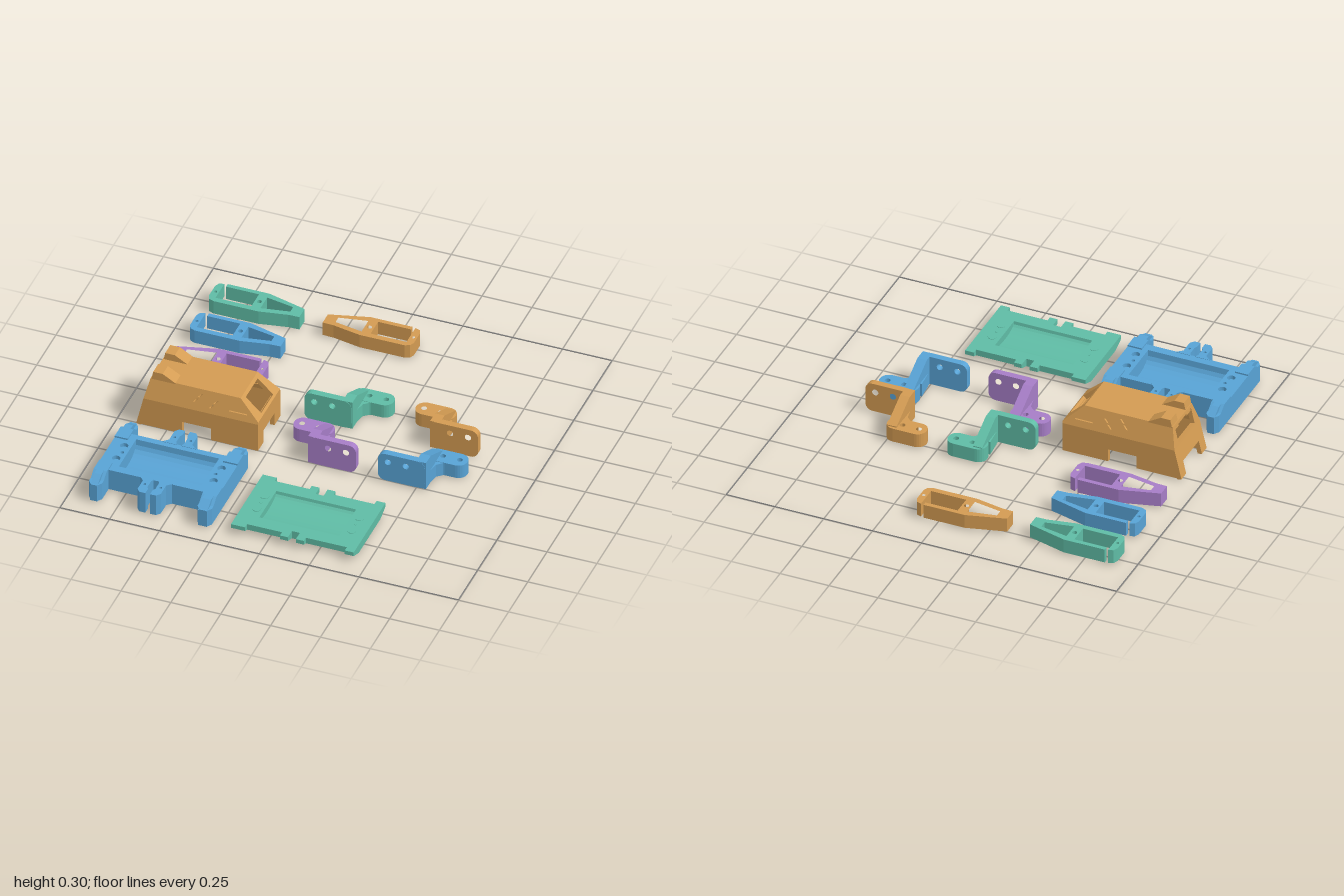
import * as THREE from 'three';

const mat = (name, color) => Object.assign(new THREE.MeshStandardMaterial({ color }), { name });

export function createModel() {
  const root = new THREE.Group();
  const orange = mat('warm orange', 0xd39b52), blue = mat('sky blue', 0x58a3d5);
  const teal = mat('sea green', 0x5fbca5), purple = mat('lilac', 0xa67dc6);
  const grey = mat('grey', 0x808080);

  const group = (name, parent = root) => {
    const g = new THREE.Group();
    g.name = name;
    parent.add(g);
    return g;
  };
  const add = (parent, name, geo, m) => {
    const mesh = new THREE.Mesh(geo, m);
    mesh.name = name;
    parent.add(mesh);
    return mesh;
  };
  const path = pts => new THREE.Path(pts.map(p => new THREE.Vector2(p[0], p[1])));
  const circle = (x, y, r) => Array.from({ length: 16 }, (_, i) =>
    [x + r * Math.cos(i * Math.PI / 8), y + r * Math.sin(i * Math.PI / 8)]);
  const rect = (x0, x1, y0, y1) => [[x0, y0], [x1, y0], [x1, y1], [x0, y1]];
  // rectangle with the corners rounded
  const rounded = (x0, x1, y0, y1, r) => [[x1, y1, 0], [x0, y1, 1], [x0, y0, 2], [x1, y0, 3]].flatMap(([x, y, q]) =>
    Array.from({ length: 7 }, (_, i) => {
      const a = (q + i / 6) * Math.PI / 2;
      const cx = x === x1 ? x1 - r : x0 + r, cy = y === y1 ? y1 - r : y0 + r;
      return [cx + r * Math.cos(a), cy + r * Math.sin(a)];
    }));
  const extrude = (pts, holes, depth) => {
    const s = new THREE.Shape(path(pts).getPoints());
    s.holes = holes.map(path);
    return new THREE.ExtrudeGeometry(s, { depth, bevelEnabled: false });
  };
  // extrusions of an x-y, x-z or z-y outline along the remaining axis
  const alongZ = (pts, holes, z0, z1) => extrude(pts, holes, z1 - z0).translate(0, 0, z0);
  const alongY = (pts, holes, y0, y1) => extrude(pts, holes, y1 - y0).rotateX(Math.PI / 2).translate(0, y1, 0);
  const alongX = (pts, holes, x0, x1) => extrude(pts, holes, x1 - x0).rotateY(-Math.PI / 2).translate(x1, 0, 0);

  // thin square border on the ground
  const border = group('bedBorder');
  add(border, 'borderLine', alongY(rect(-1, 1, -1, 1), [rect(-0.996, 0.996, -0.996, 0.996)], 0, 0.003), grey);

  // spring clips: open hook, crossbar and tapered loop
  const clip = (name, m, x, z, s) => {
    const f = pts => pts.map(([u, v]) => [s * (u - 0.2275), v]);
    const outline = [[0.05, 0], [0.26, 0], [0.455, 0.052], [0.455, 0.12], [0.4, 0.122], [0.26, 0.148], [0.035, 0.148],
      [0.01, 0.138], [0, 0.115], [0, 0.035], [0.01, 0.012], [0.035, 0.004], [0.035, 0.12], [0.215, 0.12],
      [0.215, 0.022], [0.05, 0.022]];
    const holes = [[[0.26, 0.032], [0.4, 0.058], [0.4, 0.095], [0.26, 0.12]],
      circle(0.237, 0.075, 0.012), circle(0.018, 0.075, 0.008)];
    add(group(name), 'clipBody', alongY(f(outline), holes.map(f), 0.008, 0.08).translate(x, 0, z), m);
  };
  clip('clipA', teal, -0.677, -0.81, 1);
  clip('clipB', blue, -0.677, -0.565, 1);
  clip('clipC', purple, -0.677, -0.325, -1);
  clip('clipD', orange, -0.105, -0.81, -1);

  // brackets: upright plate, sloping arm and a two-hole pod
  const bracket = (name, m, x, z, s) => {
    const g = group(name);
    g.position.set(x, 0, z);
    const f = pts => pts.map(([u, v]) => [s * u, v]);
    add(g, 'mountPlate', alongZ(f(rounded(-0.19, 0.045, 0.008, 0.16, 0.035)),
      [circle(-0.14, 0.115, 0.016), circle(-0.05, 0.115, 0.016)].map(f), 0.082, 0.115), m);
    const xs = [s * 0.002, s * 0.05].sort((a, b) => a - b);
    add(g, 'arm', alongX([[0.113, 0.008], [0.113, 0.16], [0.05, 0.16], [-0.1, 0.085], [-0.1, 0.008]], [], ...xs), m);
    add(g, 'armFlare', alongY(f([[0.0, 0.06], [-0.008, -0.03], [0.13, -0.03], [0.085, -0.018], [0.06, 0.005], [0.05, 0.06]]),
      [], 0.008, 0.078), m);
    add(g, 'pod', alongY(f(rounded(-0.01, 0.19, -0.115, -0.02, 0.045)),
      [circle(0.066, -0.068, 0.014), circle(0.15, -0.068, 0.014)].map(f), 0.008, 0.08), m);
  };
  bracket('bracketA', blue, 0.5, 0.145, 1);
  bracket('bracketB', purple, 0.01, 0.145, -1);
  bracket('bracketC', teal, 0.01, -0.17, 1);
  bracket('bracketD', orange, 0.5, -0.17, -1);

  // curved trough floor from +half to -half, sunk from top to floor
  const trough = (c, half, top, floor) => Array.from({ length: 13 }, (_, i) => {
    const a = i * Math.PI / 12;
    return [c + half * Math.cos(a), top - (top - floor) * Math.sin(a) ** 0.7];
  });

  // shallow tray with bevelled underside, made of slices along x
  const tray = group('tray');
  const cz = 0.692;
  [[-0.18, -0.11, 0.207], [-0.11, -0.075, 0.18], [-0.075, 0.065, 0.18, 1], [0.065, 0.105, 0.207, 1],
    [0.105, 0.145, 0.155, 1], [0.145, 0.185, 0.207, 1], [0.185, 0.325, 0.18, 1], [0.325, 0.39, 0.18],
    [0.39, 0.435, 0.207]].forEach(([x0, x1, h, open]) => {
    const yk = 0.008 + (h - 0.14) * 0.4;
    const pts = [[cz - 0.14, 0.008], [cz - h, yk], [cz - h, 0.056],
      ...(open ? trough(cz, 0.11, 0.056, 0.018).reverse() : []),
      [cz + h, 0.056], [cz + h, yk], [cz + 0.14, 0.008]];
    add(tray, open ? 'troughSlice' : 'endSlice', alongX(pts, [], x0, x1), teal);
  });
  [-0.11, 0.365].forEach(x => [0.64, 0.69, 0.745].forEach((z, i) =>
    add(tray, 'magnetSeat', alongY(circle(x, z, i === 1 ? 0.008 : 0.021), [], 0.055, 0.058), teal)));

  // deep base: trough deck, end blocks, corner legs and centre prongs
  const base = group('base');
  const bz = 0.64;
  add(base, 'troughDeck', alongX([[bz - 0.15, 0.008], [bz - 0.15, 0.12], ...trough(bz - 0.005, 0.113, 0.12, 0.045).reverse(),
    [bz + 0.15, 0.12], [bz + 0.15, 0.008]], [], -0.8, -0.385), blue);
  [[-0.9, -0.8], [-0.385, -0.285]].forEach(([x0, x1], i) => {
    const hx = i ? -0.347 : -0.835;
    add(base, 'endBlock', alongY(rect(x0, x1, bz - 0.15, bz + 0.15),
      [circle(hx, bz - 0.052, 0.02), circle(hx, bz + 0.052, 0.02), circle(hx + (i ? -0.01 : 0.01), bz, 0.009)], 0.1, 0.12), blue);
    add(base, 'endBlockCore', alongY(rect(x0, x1, bz - 0.15, bz + 0.15), [], 0.008, 0.1), blue);
  });
  // leg outline with chamfered top and outer end
  const leg = (name, x0, x1, s) => {
    const z = d => bz + s * d;
    add(base, name, alongX([[z(0.115), 0.008], [z(0.26), 0.008], [z(0.26), 0.095], [z(0.205), 0.128], [z(0.115), 0.128]],
      [], x0, x1), blue);
  };
  [-1, 1].forEach(s => {
    leg('cornerLeg', -0.885, -0.85, s);
    leg('cornerLeg', -0.345, -0.3, s);
    const z = d => bz + s * d;
    [[-0.9, -0.835], [-0.357, -0.285]].forEach(([x0, x1]) => add(base, 'cornerLegFlank', alongY(
      [[x0, z(0.12)], [x0, z(0.235)], [x0 + 0.018, z(0.26)], [x1 - 0.018, z(0.26)], [x1, z(0.235)], [x1, z(0.12)]],
      [], 0.008, 0.1), blue));
    [[-0.9, -0.835], [-0.357, -0.285]].forEach(([x0, x1]) => leg('cornerLegCap', x0, x1, s * 0.85));
    // paired prongs with a widened slot between them
    [-1, 1].forEach(k => add(base, 'prong', alongY(
      [[0.012, 0.26], [0.042, 0.26], [0.058, 0.24], [0.058, 0.17], [0.085, 0.145], [0.012, 0.145], [0.02, 0.165],
        [0.02, 0.21], [0.012, 0.225]].map(([u, v]) => [-0.597 + k * u, z(v)]),
      [circle(-0.597 + k * 0.04, z(0.195), 0.007)], 0.008, 0.122), blue));
  });

  // hollow cover: notched lower walls, inward-leaning upper sides, sloped ends
  const cover = group('cover');
  const oz = 0.117, hw = 0.145, ky = 0.16, t = 0.022;
  const lean = y => Math.max(0, y - ky) * 0.33;
  const lower = [[-0.9, 0.008], [-0.67, 0.008], [-0.67, 0.075], [-0.525, 0.075], [-0.525, 0.008], [-0.29, 0.008],
    [-0.29, ky], [-0.864, ky]];
  const upper = [[-0.864, ky], [-0.29, ky], [-0.29, 0.17], [-0.39, 0.265], [-0.84, 0.265]];
  const slits = [[-0.62, 0.2], [-0.6, 0.225], [-0.52, 0.21], [-0.54, 0.185]].map(([x, y]) =>
    [[x, y], [x + 0.008, y], [x + 0.026, y + 0.018], [x + 0.018, y + 0.018]]);
  slits.push(rect(-0.44, -0.35, 0.192, 0.197));
  [-1, 1].forEach(s => {
    const zs = [s * hw, s * (hw - t)].sort((a, b) => a - b);
    add(cover, 'lowerSide', alongZ(lower, [], ...zs).translate(0, 0, oz), orange);
    const g = alongZ(upper, slits, ...zs);
    const p = g.attributes.position;
    for (let i = 0; i < p.count; i++) p.setZ(i, p.getZ(i) - s * lean(p.getY(i)));
    g.computeVertexNormals();
    add(cover, 'upperSide', g.translate(0, 0, oz), orange);
    // raised sight blocks on the roof
    const hz = [s * 0.045, s * 0.112].sort((a, b) => a - b);
    add(cover, 'roofBlock', alongZ([[-0.842, 0.235], [-0.828, 0.302], [-0.78, 0.302], [-0.715, 0.264], [-0.715, 0.235]],
      [], ...hz).translate(0, 0, oz), orange);
  });
  add(cover, 'roof', new THREE.BoxGeometry(0.45, t, 2 * (hw - lean(0.265)))
    .translate(-0.615, 0.265 - t / 2, oz), orange);

  // end panel between a lower and an upper edge, facing side s
  const endPanel = (name, s, [x0, y0], [x1, y1], cut) => {
    const L = Math.hypot(x1 - x0, y1 - y0), a = hw - lean(y0), b = hw - lean(y1);
    const g = extrude(cut.notch ? [[-a, 0], [-cut.notch, 0], [-cut.notch, 0.07], [cut.notch, 0.07], [cut.notch, 0], [a, 0], [b, L], [-b, L]]
      : [[-a, 0], [a, 0], [b, L], [-b, L]],
    cut.window ? [rect(-cut.window, cut.window, L * 0.1, L * 0.87)] : [], t).translate(0, 0, -t);
    const U = new THREE.Vector3(0, 0, -s), V = new THREE.Vector3((x1 - x0) / L, (y1 - y0) / L, 0);
    g.applyMatrix4(new THREE.Matrix4().makeBasis(U, V, U.clone().cross(V)).setPosition(x0, y0, oz));
    add(cover, name, g, orange);
  };
  endPanel('frontLowerEnd', 1, [-0.29, 0.008], [-0.29, 0.17], { notch: 0.07 });
  endPanel('frontSlope', 1, [-0.29, 0.17], [-0.39, 0.265], { window: 0.078 });
  endPanel('rearLowerEnd', -1, [-0.9, 0.008], [-0.864, ky], { notch: 0.09 });
  endPanel('rearSlope', -1, [-0.864, ky], [-0.84, 0.265], { window: 0.092 });

  return root;
}
